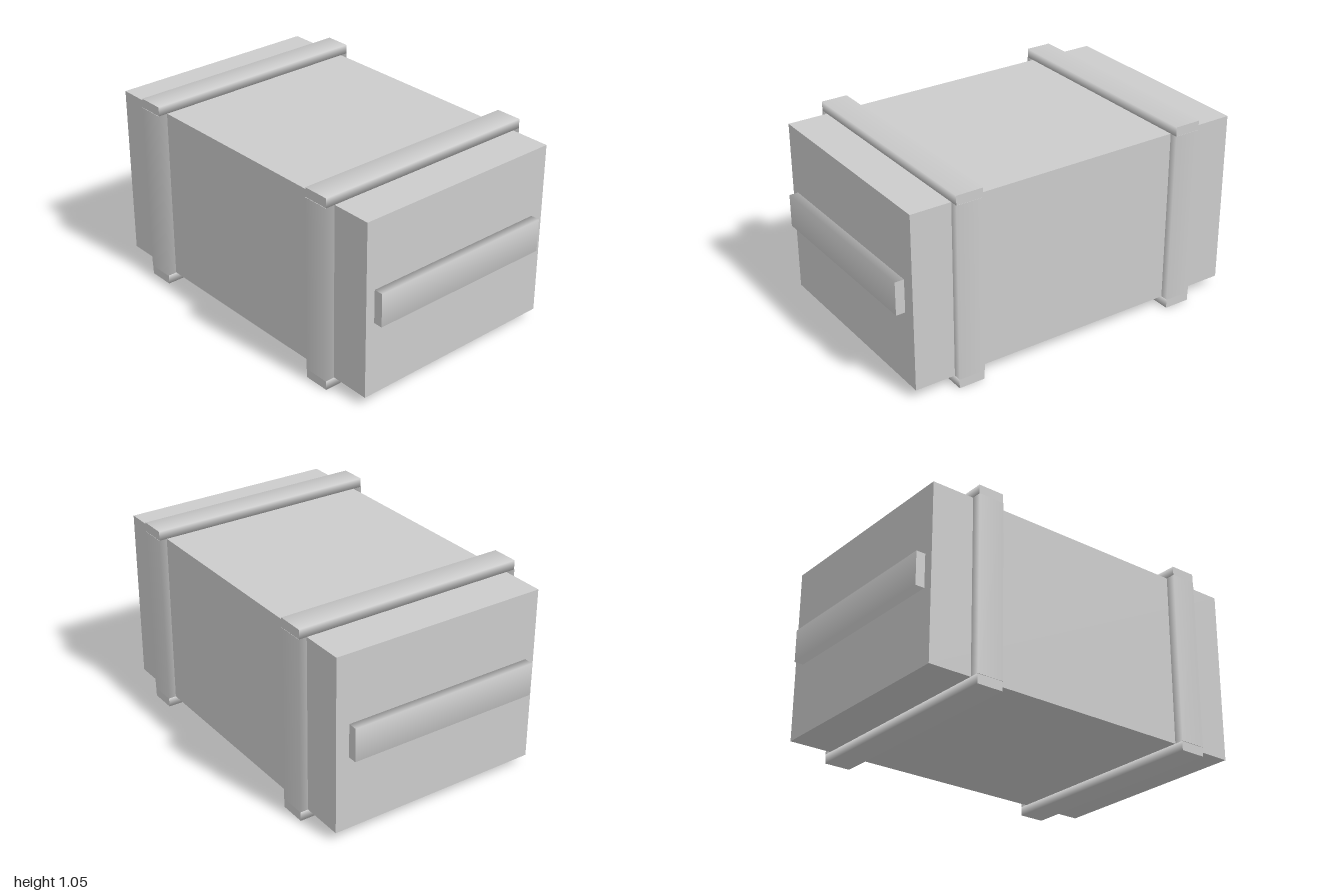
import * as THREE from 'three';

export function createModel() {
  const group = new THREE.Group();
  const material = new THREE.MeshStandardMaterial({ color: 0xcccccc });

  const add = (name, geometry, x, y, z) => {
    const mesh = new THREE.Mesh(geometry, material);
    mesh.name = name;
    mesh.position.set(x, y, z);
    group.add(mesh);
  };

  // Four-sided bar along y: smooth-shaded sides, flat ends
  const bar = (width, length, depth) =>
    new THREE.CylinderGeometry(Math.SQRT1_2, Math.SQRT1_2, 1, 4, 1, false, Math.PI / 4)
      .scale(width, length, depth);

  // Crate body
  add('crateBody', new THREE.BoxGeometry(1.9, 0.95, 1.19), 0, 0.525, -0.005);

  // Two bands of four battens wrapped around the crate
  const w = 0.145;
  for (const [side, x] of [['right', -0.643], ['left', 0.657]]) {
    add(side + 'TopBatten', bar(w, 1.283, 0.05).rotateX(Math.PI / 2), x, 1.025, -0.001);
    add(side + 'BottomBatten', bar(w, 1.283, 0.05).rotateX(Math.PI / 2), x, 0.025, -0.001);
    add(side + 'FrontBatten', bar(w, 0.95, 0.052), x, 0.525, 0.617);
    add(side + 'BackBatten', bar(w, 0.95, 0.048), x, 0.525, -0.62);
  }

  // Grip rail on each end
  for (const [name, s] of [['rightHandle', -1], ['leftHandle', 1]]) {
    add(name, bar(0.05, 1.065, 0.18).rotateX(Math.PI / 2), s * 0.975, 0.54, 0.006);
  }

  return group;
}
